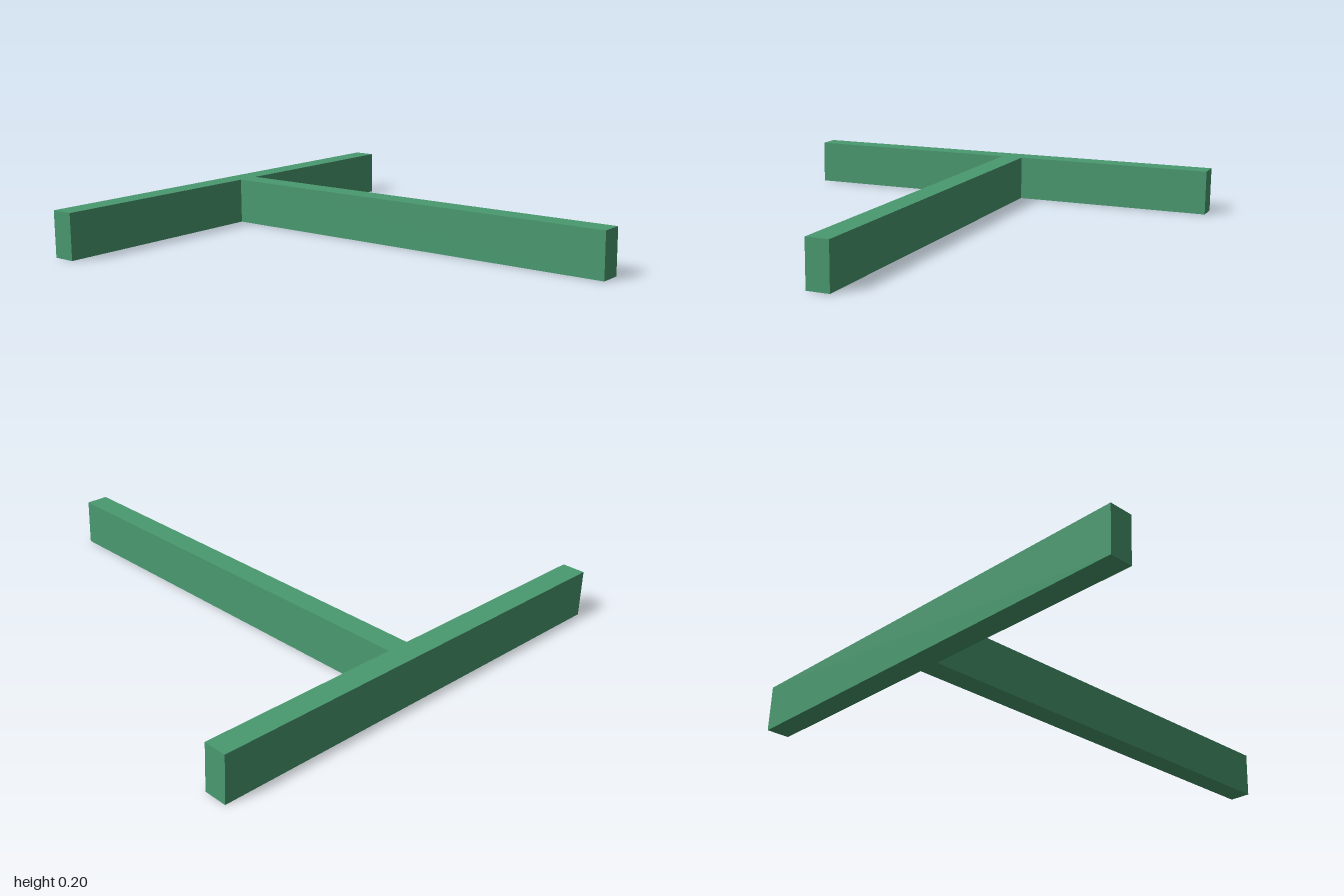
import * as THREE from 'three';

export function createModel() {
  const model = new THREE.Group();
  model.name = 'teeWall';

  // T-shaped plan: a crossbar along the back and a stem running to the front
  const plan = new THREE.Shape([
    [-1, 0.9], [0, 0.9], [0, -1], [0.1, -1],
    [0.1, 0.9], [1, 0.9], [1, 1], [-1, 1],
  ].map(([x, y]) => new THREE.Vector2(x, y)));

  // Raise the plan to its height and lay it flat (plan y becomes -z)
  const geometry = new THREE.ExtrudeGeometry(plan, { depth: 0.2, bevelEnabled: false });
  geometry.rotateX(-Math.PI / 2);

  const walls = new THREE.Mesh(geometry, new THREE.MeshStandardMaterial({ color: 0x4a9a70 }));
  walls.name = 'crossbarAndStem';
  model.add(walls);
  return model;
}
